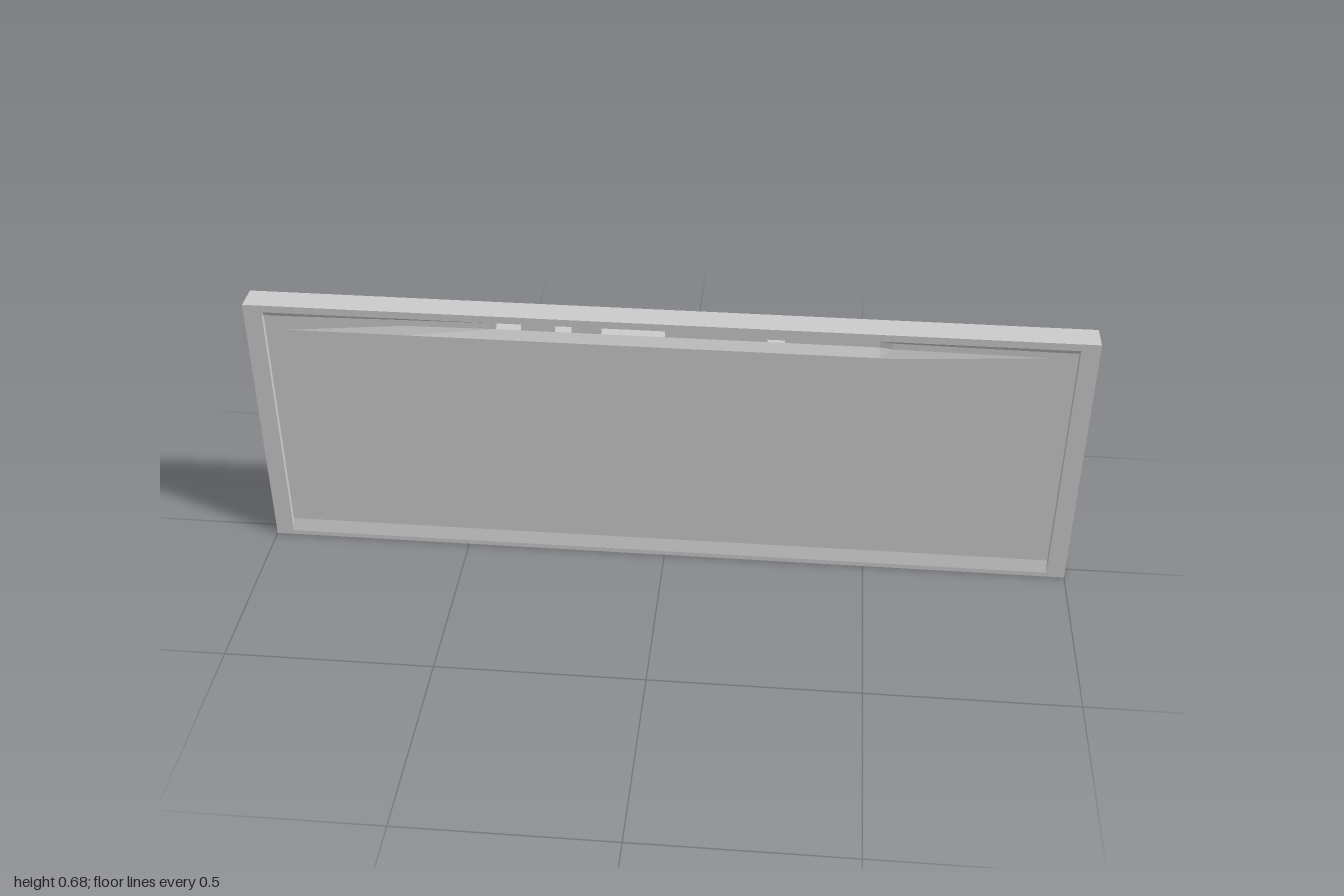
import * as THREE from 'three';

const HALF = 0.0338;   // half thickness at the rim
const PANEL = 0.026;   // half thickness of the recessed panel
const SLOT_Y = [0.634, 0.65];
const SLOTS = [[-0.4, -0.34], [-0.26, -0.22], [-0.15, 0], [0.24, 0.28]];

// Grid lines: rim edges, groove ends and slot edges
const xs = [-1, -0.956, -0.954, -0.9, -0.62, ...SLOTS.flat(), 0.5, 0.53, 0.9, 0.954, 0.956, 1];
const ys = [0, 0.012, 0.045, 0.612, ...SLOT_Y, 0.662, 0.68];

// Depth of the groove under the top rail: fades out towards both ends
function grooveDepth(x) {
  if (x < -0.4) return 0.012 * THREE.MathUtils.smoothstep(x, -0.9, -0.4);
  return x <= 0.5 ? 0.012 : 0.006 * THREE.MathUtils.clamp((0.9 - x) / 0.37, 0, 1);
}

function halfThickness(x, y) {
  if (Math.abs(x) > 0.955 || y < 0.02 || y > 0.66) return HALF;
  return y > 0.62 ? PANEL - grooveDepth(x) : PANEL;
}

function isSolid(i, j) {
  if (i < 0 || j < 0 || i >= xs.length - 1 || j >= ys.length - 1) return false;
  const x = (xs[i] + xs[i + 1]) / 2, y = (ys[j] + ys[j + 1]) / 2;
  const inRow = y > SLOT_Y[0] && y < SLOT_Y[1];
  return !(inRow && SLOTS.some(([a, b]) => x > a && x < b));
}

// Front and back skins, with walls around the outside and inside the slots
function boardGeometry() {
  const pos = [];
  const point = ([i, j], side) => [xs[i], ys[j], side * halfThickness(xs[i], ys[j])];
  const quad = (a, b, c, d) => pos.push(...a, ...b, ...c, ...a, ...c, ...d);
  for (let i = 0; i < xs.length - 1; i++) {
    for (let j = 0; j < ys.length - 1; j++) {
      if (!isSolid(i, j)) continue;
      const c = [[i, j], [i + 1, j], [i + 1, j + 1], [i, j + 1]];
      quad(...c.map(k => point(k, 1)));
      quad(...c.map(k => point(k, -1)).reverse());
      const neighbours = [[i, j - 1], [i + 1, j], [i, j + 1], [i - 1, j]];
      neighbours.forEach(([ni, nj], k) => {
        if (isSolid(ni, nj)) return;
        const a = c[k], b = c[(k + 1) % 4];
        quad(point(a, 1), point(a, -1), point(b, -1), point(b, 1));
      });
    }
  }
  const geometry = new THREE.BufferGeometry();
  geometry.setAttribute('position', new THREE.Float32BufferAttribute(pos, 3));
  geometry.computeVertexNormals();
  return geometry;
}

export function createModel() {
  const group = new THREE.Group();
  group.name = 'framedPanel';
  const material = new THREE.MeshStandardMaterial({ color: 0xcccccc, flatShading: true });

  const board = new THREE.Mesh(boardGeometry(), material);
  board.name = 'panelWithRim';

  // Thin web closing the last slot into a pocket
  const web = new THREE.Mesh(new THREE.BoxGeometry(0.04, 0.016, 0.006), material);
  web.name = 'pocketFloor';
  web.position.set(0.26, 0.642, 0);

  group.add(board, web);
  return group;
}
